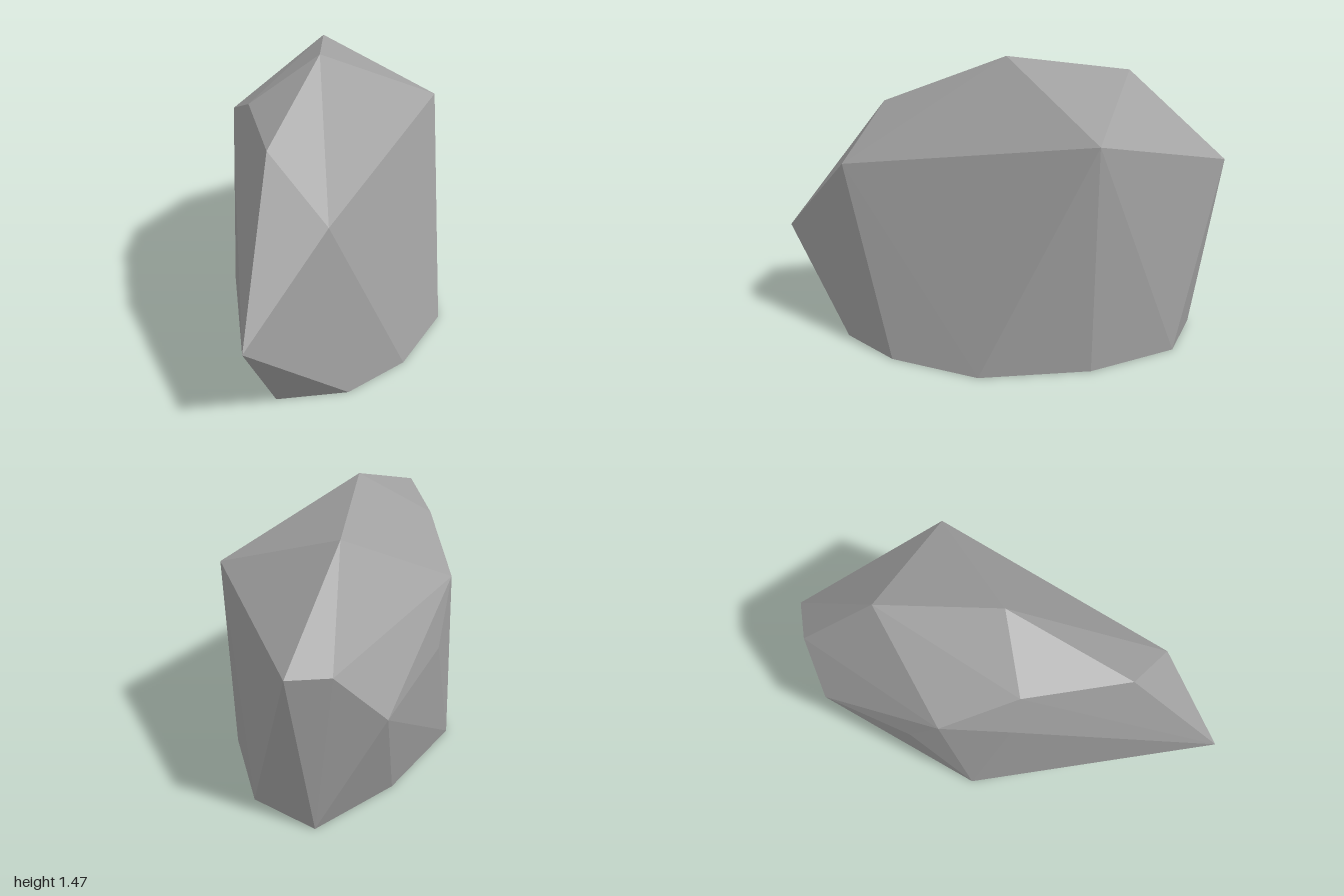
import * as THREE from 'three';
import { ConvexGeometry } from 'three/addons/geometries/ConvexGeometry.js';

export function createModel() {
  const group = new THREE.Group();
  group.name = 'rock';

  const stone = new THREE.MeshStandardMaterial({ color: 0xa0a0a0, flatShading: true });
  stone.name = 'stone grey';

  // Flat footprint on the ground (x, z)
  const base = [
    [-0.71, 0.59], [-0.41, 0.79], [-0.03, 0.815], [0.43, 0.67], [0.8, 0.25],
    [0.98, -0.22], [0.86, -0.585], [0.37, -0.585], [-0.17, -0.42],
  ].map(([x, z]) => new THREE.Vector3(x, 0, z));

  // Corners around the sides (x, y, z)
  const sides = [
    [-1, 0.48, 0.71], [-0.49, 0.925, 0.715], [0.805, 1.13, 0.235], [1, 0.95, -0.61],
    [0.82, 0.945, -0.72], [0.59, 0.67, -0.815], [0.09, 0.75, -0.6], [-0.295, 0.95, -0.22],
  ].map((p) => new THREE.Vector3(...p));

  // Corners of the crown
  const crown = [
    [-0.55, 1.205, 0.36], [0.07, 1.47, 0.055], [0.53, 1.395, -0.4],
    [-0.07, 1.06, -0.505], [-0.26, 1.23, -0.13],
  ].map((p) => new THREE.Vector3(...p));

  // Faceted boulder wrapped around all corners
  const boulder = new THREE.Mesh(new ConvexGeometry([...base, ...sides, ...crown]), stone);
  boulder.name = 'boulder';
  group.add(boulder);
  return group;
}
